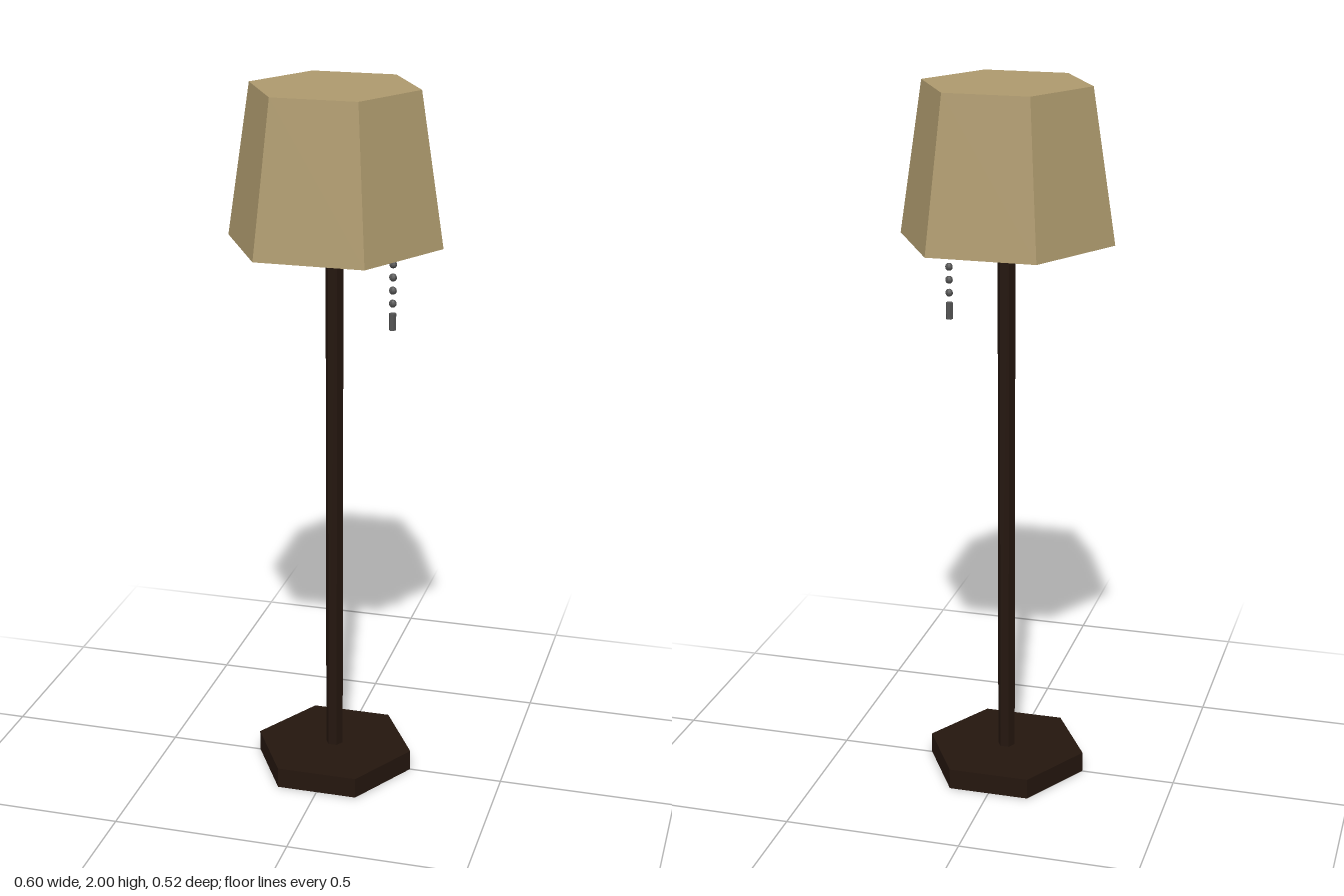
import * as THREE from 'three';

const material = (color) => new THREE.MeshStandardMaterial({ color, flatShading: true });

export function createModel() {
  const lamp = new THREE.Group();
  lamp.name = 'floorLamp';
  const wood = material(0x24160e);
  const fabric = material(0xae9a6e);
  const metal = material(0x555555);

  const add = (name, geometry, mat, x, y, parent = lamp) => {
    const mesh = new THREE.Mesh(geometry, mat);
    mesh.name = name;
    mesh.position.set(x, y, 0);
    parent.add(mesh);
    return mesh;
  };

  // Six-sided prism with corners on the x axis, standing between two heights
  const hexPrism = (name, radius, y0, y1) => add(name,
    new THREE.CylinderGeometry(radius, radius, y1 - y0, 6, 1, false, Math.PI / 2),
    wood, 0, (y0 + y1) / 2);

  hexPrism('base', 0.23, 0, 0.06);
  hexPrism('pole', 0.025, 0.06, 1.73);

  // Shade: closed top, hollowed underside with a thin rim
  const profile = [[0, 1.72], [0.22, 1.72], [0.275, 1.58], [0.3, 1.58], [0.235, 2], [0, 2]]
    .map(([r, y]) => new THREE.Vector2(r, y));
  add('shade', new THREE.LatheGeometry(profile, 6, Math.PI / 2), fabric, 0, 0);

  // Pull chain: a row of beads ending in a small handle
  const chain = new THREE.Group();
  chain.name = 'pullChain';
  lamp.add(chain);
  const bead = new THREE.SphereGeometry(0.011, 8, 6);
  for (let i = 0; i < 5; i++) add('chainBead', bead, metal, 0.163, 1.565 - i * 0.0365, chain);
  add('chainHandle', new THREE.CylinderGeometry(0.01, 0.01, 0.047, 6, 1, false, Math.PI / 2),
    metal, 0.163, 1.368, chain);

  return lamp;
}
